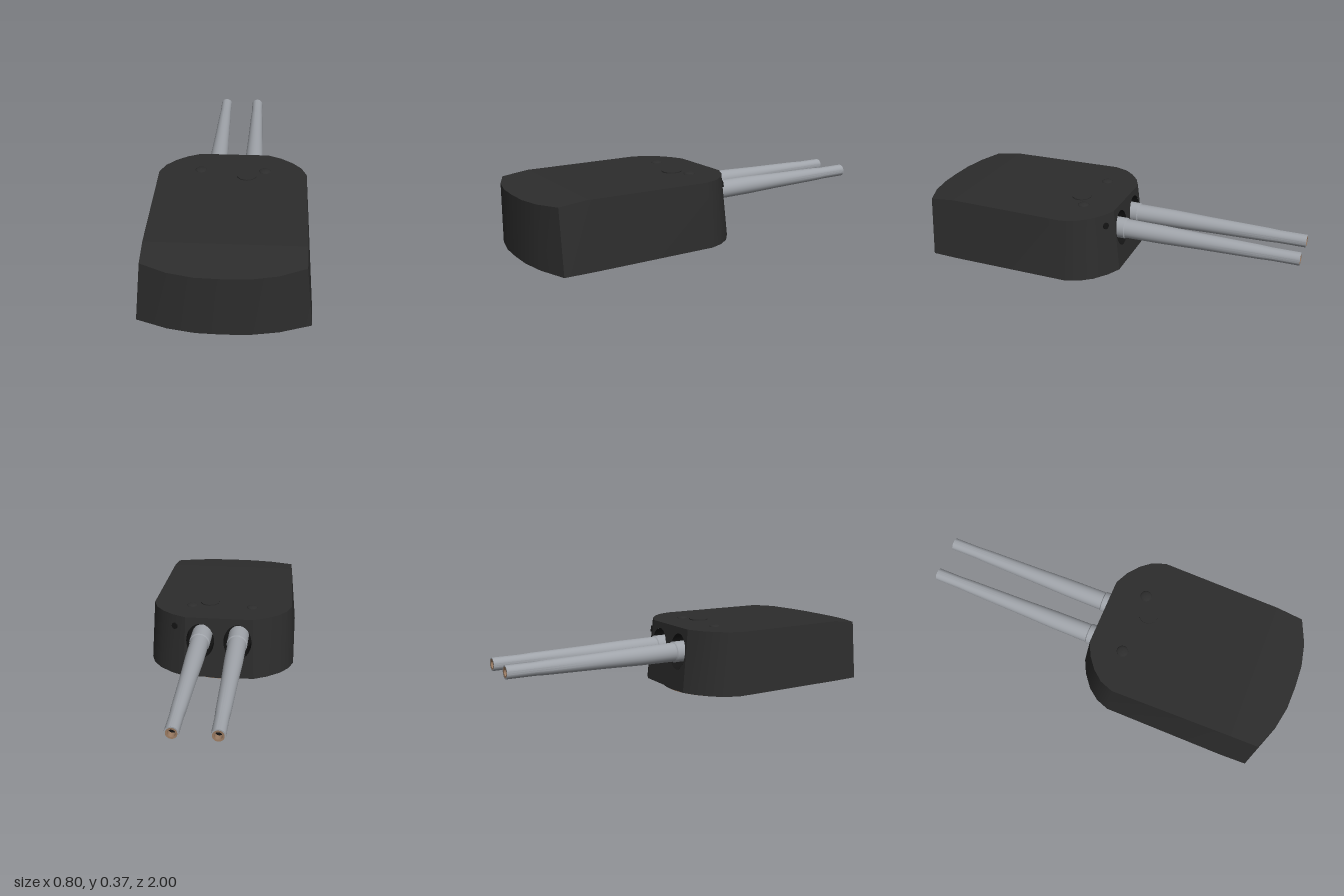
import * as THREE from 'three';
import { toCreasedNormals } from 'three/addons/utils/BufferGeometryUtils.js';

const mat = (name, color, side = THREE.FrontSide) => {
  const m = new THREE.MeshStandardMaterial({ color, side });
  m.name = name;
  return m;
};

const Y0 = 0.03, Y1 = 0.36, GUN_X = 0.1, GUN_Y = 0.232;

// Half outline from gun face to rear: bottom x, bottom z, top x, top z
const OUTLINE = [
  [0.19, -0.09, 0.18, -0.055], [0.26, -0.055, 0.25, -0.022], [0.33, 0.0, 0.31, 0.025],
  [0.375, 0.06, 0.355, 0.08], [0.4, 0.13, 0.38, 0.15], [0.4, 0.78, 0.368, 0.78],
  [0.395, 0.92, 0.362, 0.92], [0.25, 0.972, 0.24, 0.972], [0.12, 0.996, 0.12, 0.996], [0, 1, 0, 1],
];
const roofY = (z) => Y1 - Math.max(0, z - 0.78) * 0.114;
const faceZ = (y) => -0.09 + 0.035 * (y - Y0) / (Y1 - Y0);

function soup(tris, crease) {
  const g = new THREE.BufferGeometry();
  g.setAttribute('position', new THREE.Float32BufferAttribute(tris.flat(), 3));
  g.computeVertexNormals();
  return toCreasedNormals(g, crease);
}

// Side walls, leaving the gun face open
function wallGeometry() {
  const mirrored = OUTLINE.slice(0, -1).reverse().map(([a, b, c, d]) => [-a, b, -c, d]);
  const loop = [...OUTLINE, ...mirrored];
  const tris = [];
  for (let i = 0; i < loop.length - 1; i++) {
    const [p, q] = [loop[i], loop[i + 1]];
    const pb = [p[0], Y0, p[1]], qb = [q[0], Y0, q[1]];
    const pt = [p[2], roofY(p[3]), p[3]], qt = [q[2], roofY(q[3]), q[3]];
    tris.push(pb, pt, qb, pt, qt, qb);
  }
  return soup(tris, 0.45);
}

// Roof or floor, spanned by strips from side to side
function deckGeometry(top) {
  const tris = [];
  for (let i = 0; i < OUTLINE.length - 1; i++) {
    const row = (o) => {
      const [x, z] = top ? [o[2], o[3]] : [o[0], o[1]];
      const y = top ? roofY(z) : Y0;
      return [[-x, y, z], [x, y, z]];
    };
    const [aL, aR] = row(OUTLINE[i]), [bL, bR] = row(OUTLINE[i + 1]);
    if (top) tris.push(aL, bL, aR, bL, bR, aR);
    else tris.push(aL, aR, bL, bL, aR, bR);
  }
  return soup(tris, 0.02);
}

// Sloping gun face with two oval ports
function gunFaceGeometry() {
  const s = new THREE.Shape();
  s.moveTo(-0.19, Y0);
  s.lineTo(0.19, Y0);
  s.lineTo(0.18, Y1);
  s.lineTo(-0.18, Y1);
  s.closePath();
  for (const sx of [-1, 1]) {
    const hole = new THREE.Path();
    hole.absellipse(sx * GUN_X, GUN_Y, 0.075, 0.095, 0, Math.PI * 2, true);
    s.holes.push(hole);
  }
  const g = new THREE.ShapeGeometry(s, 32);
  g.rotateY(Math.PI);
  const p = g.attributes.position;
  for (let i = 0; i < p.count; i++) p.setZ(i, faceZ(p.getY(i)));
  g.computeVertexNormals();
  return g;
}

// Recess behind a port, its rim trimmed to the sloping face
function recessGeometry() {
  const g = new THREE.CylinderGeometry(1, 1, 0.1, 32, 1, true);
  g.rotateX(Math.PI / 2);
  g.scale(0.075, 0.095, 1);
  const p = g.attributes.position;
  for (let i = 0; i < p.count; i++) p.setZ(i, p.getZ(i) < 0 ? faceZ(p.getY(i) + GUN_Y) : 0.03);
  g.computeVertexNormals();
  return g;
}

// Lathe along -z from [radius, distance] pairs
function latheZ(points, seg = 24) {
  const g = new THREE.LatheGeometry(points.map(([r, d]) => new THREE.Vector2(r, d)), seg);
  g.rotateX(-Math.PI / 2);
  return toCreasedNormals(g, 0.5);
}

export function createModel() {
  const armour = mat('dark armour', 0x2d2d2d);
  const steel = mat('gun steel', 0xa0a4aa);
  const black = mat('recess black', 0x141414, THREE.DoubleSide);
  const brown = mat('brown trim', 0x9a7b62, THREE.DoubleSide);
  const root = new THREE.Group();
  root.name = 'gunTurret';

  const add = (name, geo, m, parent = root, x = 0, y = 0, z = 0) => {
    const mesh = new THREE.Mesh(geo, m);
    mesh.name = name;
    mesh.position.set(x, y, z);
    parent.add(mesh);
    return mesh;
  };

  // Armoured house
  add('sideWalls', wallGeometry(), armour);
  add('roof', deckGeometry(true), armour);
  add('floor', deckGeometry(false), armour);
  add('gunFace', gunFaceGeometry(), armour);

  // Turning ring underneath
  add('turningRing', new THREE.CylinderGeometry(0.32, 0.32, 0.022, 48), armour, root, 0, 0.02, 0.26);
  add('ringTrim', new THREE.CylinderGeometry(0.307, 0.307, 0.01, 48), brown, root, 0, 0.0055, 0.26);
  add('ringBottom', new THREE.CylinderGeometry(0.304, 0.304, 0.004, 48), armour, root, 0, 0.002, 0.26);

  // Roof hatch and domes
  add('roofHatch', new THREE.CylinderGeometry(0.052, 0.052, 0.01, 10), armour, root, 0.073, 0.361, 0.17);
  const dome = [[0.03, 0], [0.03, 0.003], [0.025, 0.007], [0.014, 0.01], [0, 0.011]]
    .map(([r, h]) => new THREE.Vector2(r, h));
  for (const x of [-0.165, 0.165]) {
    add('roofDome', new THREE.LatheGeometry(dome, 16), armour, root, x, 0.359, 0.12);
  }

  // Sighting port beside the guns
  const sight = add('sightPort', new THREE.CylinderGeometry(0.017, 0.017, 0.012, 16), black, root, 0.24, 0.3, -0.034);
  sight.quaternion.setFromUnitVectors(new THREE.Vector3(0, 1, 0), new THREE.Vector3(0.43, 0.1, -0.9).normalize());

  // Twin guns
  for (const x of [-GUN_X, GUN_X]) {
    const gun = new THREE.Group();
    gun.name = 'gun';
    gun.position.set(x, GUN_Y, 0);
    root.add(gun);
    add('portRecess', recessGeometry(), black, gun);
    const back = add('portBack', new THREE.CircleGeometry(1, 32), black, gun, 0, 0, 0.03);
    back.scale.set(0.075, 0.095, 1);
    add('barrel', latheZ([[0.055, -0.03], [0.055, 0.095], [0.05, 0.1], [0.048, 0.3],
      [0.042, 0.5], [0.036, 0.8], [0.033, 0.86], [0.033, 1], [0.027, 1]]), steel, gun);
    add('muzzleRing', latheZ([[0.027, 1], [0.018, 0.999], [0.018, 0.96]]), brown, gun);
    const bore = add('bore', new THREE.CircleGeometry(0.018, 24), black, gun, 0, 0, -0.965);
    bore.rotation.y = Math.PI;
  }
  return root;
}
